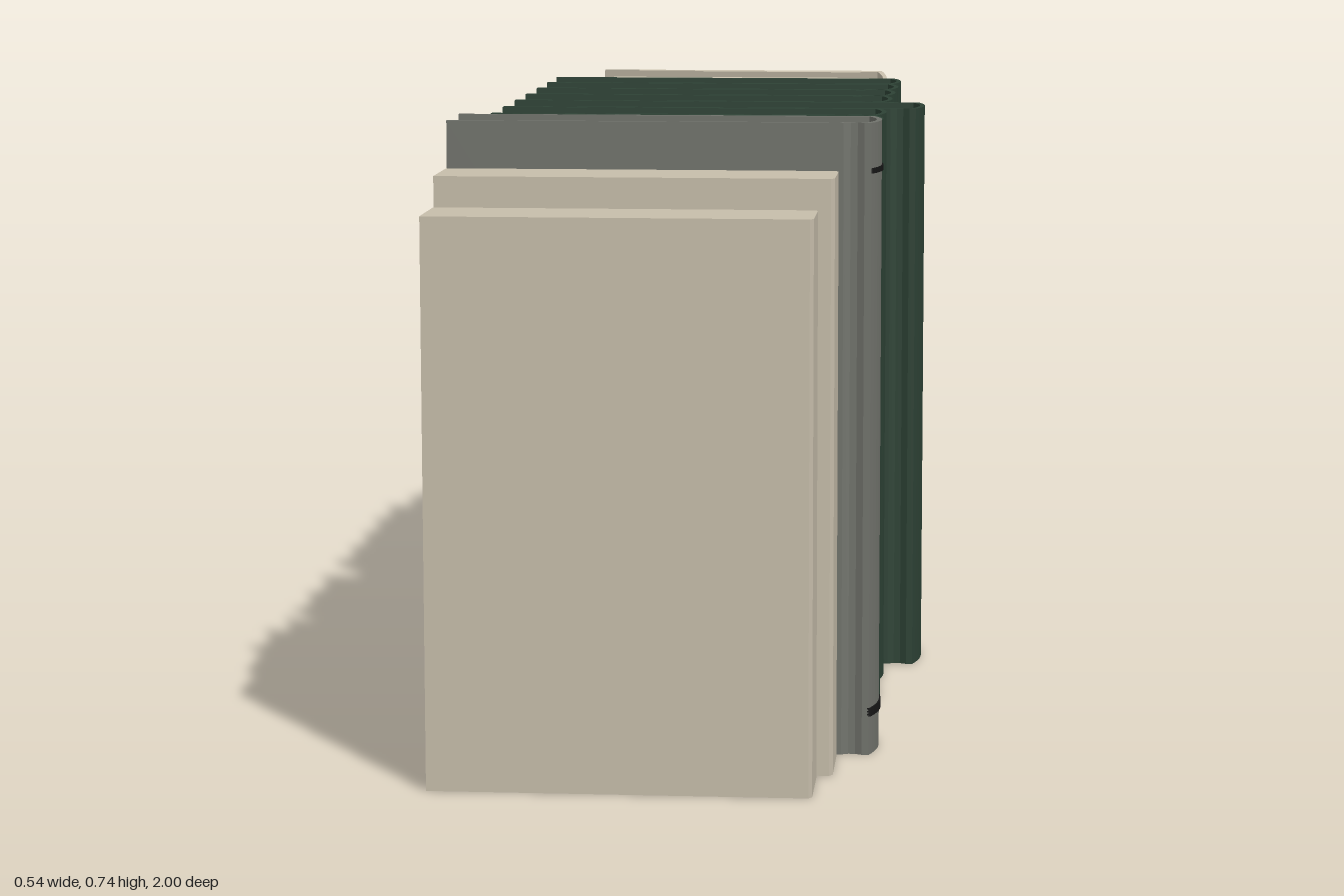
import * as THREE from 'three';

const FORE = -0.27; // shared x of all fore edges
const mat = (name, color) => {
  const m = new THREE.MeshStandardMaterial({ color });
  m.name = name;
  return m;
};

// Extrudes an outline drawn in plan (x, z) upwards from y0
function extrudeUp(points, y0, height) {
  const shape = new THREE.Shape(points.map(([x, z]) => new THREE.Vector2(x, z)));
  const g = new THREE.ExtrudeGeometry(shape, { depth: height, bevelEnabled: false });
  g.rotateX(-Math.PI / 2);
  g.translate(0, y0, 0);
  return g;
}

function add(group, name, geometry, material) {
  const mesh = new THREE.Mesh(geometry, material);
  mesh.name = name;
  group.add(mesh);
}

// Rounded spine arc from -half to +half, bulging to x = right
function spineArc(right, half, bulge) {
  const pts = [];
  for (let i = 0; i <= 10; i++) {
    const t = -1 + i / 5;
    pts.push([right - bulge * t * t, half * t]);
  }
  return pts;
}

// One side of the cover with its hinge groove, from fore edge to spine
const coverSide = (right, half, dip) => [
  [FORE, -half], [right - 0.042, -half], [right - 0.034, -half + dip],
  [right - 0.026, -half + dip], [right - 0.018, -half],
];
const mirror = (pts) => pts.map(([x, z]) => [x, -z]).reverse();

function hardcover(b, cover, pageMat, bandMat) {
  const g = new THREE.Group();
  const half = (b.z1 - b.z0) / 2, th = 0.006, bulge = 0.01;

  // Wrapped cover
  const out = coverSide(b.x, half, 0.004);
  const inn = coverSide(b.x - th, half - th, 0.004);
  const outline = [
    ...out, ...spineArc(b.x, half, bulge), ...mirror(out),
    ...mirror(inn), ...spineArc(b.x - th, half - th, bulge).reverse(), ...inn.slice().reverse(),
  ];
  add(g, 'cover', extrudeUp(outline, 0, b.h), cover);

  // Page block with hollow fore edge
  const ph = half - th + 0.0005, fore = FORE + (b.inset ?? 0.01), hollow = b.hollow ?? 0.004;
  const pages = spineArc(b.x - th, ph - 0.004, bulge);
  pages.unshift([b.x - 0.05, -ph]);
  pages.push([b.x - 0.05, ph]);
  for (let i = 0; i <= 8; i++) {
    const t = 1 - i / 4;
    pages.push([fore + hollow * (1 - t * t), ph * t]);
  }
  add(g, 'pages', extrudeUp(pages, 0.01, b.h - 0.02), pageMat);

  // Thin raised bands round the spine
  for (const [y, height] of b.bands ?? []) {
    const strip = [
      ...spineArc(b.x + 0.002, half, bulge),
      ...spineArc(b.x - 0.002, half, bulge).reverse(),
    ];
    add(g, 'spineBand', extrudeUp(strip, y, height), bandMat);
  }
  return g;
}

function paperback(b, paper) {
  const g = new THREE.Group();
  const half = (b.z1 - b.z0) / 2;
  const block = [
    [FORE, -half], [b.x - 0.004, -half], [b.x, -half + 0.006],
    [b.x, half - 0.006], [b.x - 0.004, half], [FORE, half],
  ];
  add(g, 'paperBlock', extrudeUp(block, 0, b.h), paper);
  return g;
}

export function createModel() {
  const root = new THREE.Group();
  root.name = 'bookRow';
  const beige = mat('beige paper', 0xc6bdaa);
  const green = mat('dark green cloth', 0x2d4235);
  const grey = mat('grey cloth', 0x71736c);
  const charcoal = mat('charcoal cloth', 0x2e2e2e);
  const black = mat('black band', 0x161616);

  // Books from front to back; those with a cover are hardbacks
  const books = [
    { z1: 1.0, z0: 0.903, h: 0.65, x: 0.165 },
    { z1: 0.899, z0: 0.803, h: 0.685, x: 0.183 },
    { z1: 0.799, z0: 0.7, h: 0.74, x: 0.23, cover: grey, bands: [[0.046, 0.01], [0.682, 0.006]] },
    { z1: 0.696, z0: 0.606, h: 0.715, x: 0.207, cover: charcoal },
    { z1: 0.602, z0: 0.547, h: 0.63, x: 0.147 },
  ];
  // Matching green set, with one volume pulled forward
  for (let i = 0; i < 7; i++) {
    const z1 = 0.544 - i * 0.1117;
    const book = { z1, z0: z1 - 0.109, h: 0.72, x: 0.222, cover: green };
    if (i === 2) Object.assign(book, { x: 0.267, inset: 0.04, hollow: 0.018 });
    books.push(book);
  }
  books.push(
    { z1: -0.242, z0: -0.355, h: 0.68, x: 0.195, cover: beige },
    { z1: -0.359, z0: -0.451, h: 0.635, x: 0.147 },
    { z1: -0.455, z0: -0.557, h: 0.615, x: 0.14 },
    { z1: -0.562, z0: -0.68, h: 0.66, x: 0.175, cover: beige },
    { z1: -0.685, z0: -0.77, h: 0.585, x: 0.122 },
  );

  const make = (b) => (b.cover ? hardcover(b, b.cover, beige, black) : paperback(b, beige));
  books.forEach((b, i) => {
    const g = make(b);
    g.name = (b.cover ? 'hardback' : 'paperback') + (i + 1);
    g.position.z = (b.z0 + b.z1) / 2;
    root.add(g);
  });

  // Last book leans against the row, pivoting on its lower edge
  const leaning = new THREE.Group();
  leaning.name = 'leaningBook';
  const last = make({ z1: 0, z0: -0.097, h: 0.685, x: 0.18, cover: beige, inset: 0.014 });
  last.position.z = -0.0485;
  leaning.add(last);
  leaning.position.z = -0.905;
  leaning.rotation.x = 0.213;
  root.add(leaning);
  return root;
}
